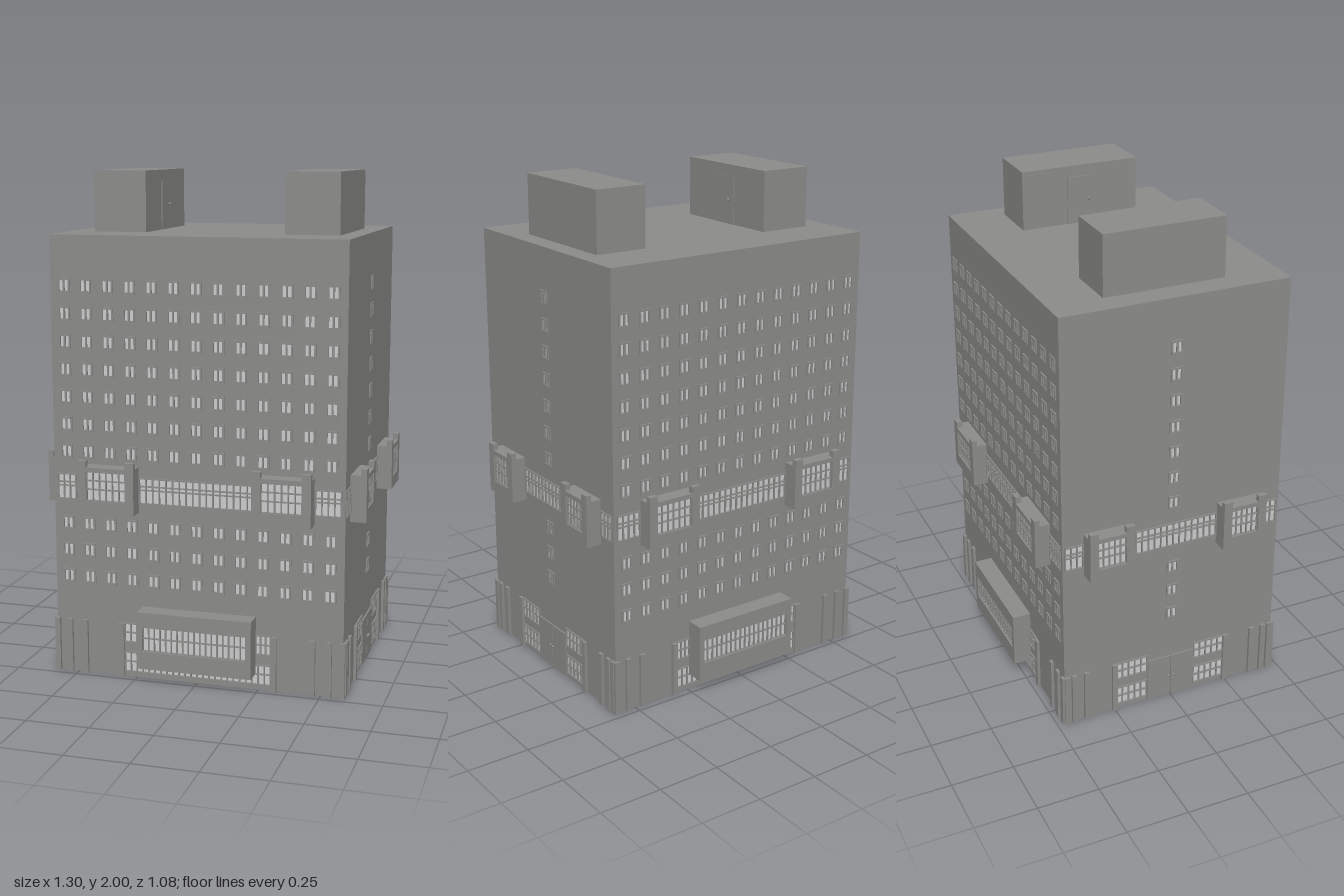
import * as THREE from 'three';
import { mergeGeometries } from 'three/addons/utils/BufferGeometryUtils.js';

const HX = 0.588, HZ = 0.466, TOP = 1.76;   // half width, half depth, roof height

const concrete = new THREE.MeshStandardMaterial({ color: 0x8c8c8a, side: THREE.DoubleSide });
concrete.name = 'concrete';
const glass = new THREE.MeshStandardMaterial({ color: 0xcdcdcd, side: THREE.DoubleSide });
glass.name = 'glass';

const range = (n, f) => Array.from({ length: n }, (_, i) => f(i));

// Box given by its limits: u along the wall, v up, w outward
function slab(u0, u1, v0, v1, w0, w1) {
  return new THREE.BoxGeometry(u1 - u0, v1 - v0, w1 - w0)
    .translate((u0 + u1) / 2, (v0 + v1) / 2, (w0 + w1) / 2);
}

function rectPath(PathType, u0, u1, v0, v1) {
  return new PathType([[u0, v0], [u1, v0], [u1, v1], [u0, v1]].map(p => new THREE.Vector2(...p)));
}

function rectWithHoles(rect, holes) {
  const shape = rectPath(THREE.Shape, ...rect);
  shape.holes = holes.map(h => rectPath(THREE.Path, ...h));
  return shape;
}

function addMerged(group, name, geometries, material) {
  const flat = geometries.map(g => (g.index ? g.toNonIndexed() : g));
  const mesh = new THREE.Mesh(mergeGeometries(flat), material);
  mesh.name = name;
  group.add(mesh);
}

// One face of the tower, built in local u/v/w coordinates
function makeFacade(name, half, opt) {
  const group = new THREE.Group();
  group.name = name;
  const holes = [], trim = [], panes = [], bays = [], ground = [];

  // Glass sheet with a frame, mullions and cross bars
  function glazing(u0, u1, v0, v1, cols, splits, w = 0, bar = 0.006) {
    panes.push(new THREE.PlaneGeometry(u1 - u0, v1 - v0)
      .translate((u0 + u1) / 2, (v0 + v1) / 2, w - 0.002));
    for (let i = 0; i <= cols; i++) {
      const u = u0 + (u1 - u0) * i / cols;
      trim.push(slab(u - bar / 2, u + bar / 2, v0, v1, w - 0.004, w + 0.005));
    }
    for (const v of [v0, ...splits, v1])
      trim.push(slab(u0 - bar / 2, u1 + bar / 2, v - bar / 2, v + bar / 2, w - 0.004, w + 0.006));
  }
  function wallWindow(u0, u1, v0, v1, cols, splits, bar) {
    holes.push([u0, u1, v0, v1]);
    glazing(u0, u1, v0, v1, cols, splits, 0, bar);
  }

  // Regular storeys of paired windows
  const rows = [...range(3, i => 0.403 + i * 0.1088), ...range(7, i => 0.912 + i * 0.1088)];
  for (const v of rows)
    for (const u of opt.columns) wallWindow(u - 0.021, u + 0.021, v - 0.024, v + 0.024, 2, [], 0.007);

  // Continuous window band, interrupted by the bays
  const bayIn = opt.bayU - opt.bayW / 2, bayOut = opt.bayU + opt.bayW / 2;
  const ends = Math.round((opt.bandEnd - bayOut) / 0.027);
  wallWindow(-opt.bandEnd, -bayOut - 0.004, 0.718, 0.818, ends, [0.772, 0.787], 0.005);
  wallWindow(-bayIn + 0.004, bayIn - 0.004, 0.718, 0.818, Math.round(bayIn * 2 / 0.027), [0.772, 0.787], 0.005);
  wallWindow(bayOut + 0.004, opt.bandEnd, 0.718, 0.818, ends, [0.772, 0.787], 0.005);

  // Projecting bays with raised corner posts
  const depth = 0.063;
  for (const c of [-opt.bayU, opt.bayU]) {
    const a = c - opt.bayW / 2, b = c + opt.bayW / 2;
    const win = [a + 0.036, b - 0.036, 0.73, 0.845];
    bays.push(new THREE.ExtrudeGeometry(rectWithHoles([a, b, 0.68, 0.863], [win]),
      { depth, bevelEnabled: false }));
    glazing(...win, opt.bayCols, [0.775, 0.81], depth - 0.012, 0.005);
    for (const [p, q] of [[a, a + 0.036], [b - 0.036, b]])
      bays.push(slab(p, q, 0.863, 0.888, depth - 0.022, depth));
  }

  // Ground storey pilasters
  for (const u of opt.pilasters)
    for (const s of [-1, 1]) ground.push(slab(s * u - 0.011, s * u + 0.011, 0, 0.222, -0.002, 0.012));

  if (opt.canopy !== undefined) {
    // Large box window over the shop front
    const a = opt.canopy - 0.232, b = opt.canopy + 0.232;
    const win = [a + 0.022, b - 0.022, 0.137, 0.235];
    holes.push(win);
    bays.push(new THREE.ExtrudeGeometry(rectWithHoles([a, b, 0.065, 0.297], [win]),
      { depth: 0.075, bevelEnabled: false }));
    glazing(...win, 18, [0.19], 0.062, 0.005);
    wallWindow(-0.3, a, 0.145, 0.222, 3, [0.185], 0.005);
    wallWindow(b, 0.3, 0.145, 0.222, 3, [0.185], 0.005);
    wallWindow(-0.3, 0.3, 0.022, 0.102, 24, [0.065], 0.005);
  } else {
    // Entrance windows and double doors with knobs
    for (const [a, b] of [[-0.242, -0.106], [0.106, 0.242]]) {
      wallWindow(a, b, 0.145, 0.22, 5, [0.185], 0.005);
      wallWindow(a, b, 0.022, 0.102, 5, [0.062], 0.005);
    }
    for (const s of [-1, 1]) {
      ground.push(slab(s * 0.0515 - 0.05, s * 0.0515 + 0.05, 0.003, 0.193, 0, 0.006));
      ground.push(new THREE.SphereGeometry(0.006, 8, 6).translate(s * 0.01, 0.1, 0.01));
    }
  }

  addMerged(group, 'wall', [new THREE.ShapeGeometry(rectWithHoles([-half, half, 0, TOP], holes))], concrete);
  addMerged(group, 'windowFrames', trim, concrete);
  addMerged(group, 'windowPanes', panes, glass);
  addMerged(group, 'projectingBays', bays, concrete);
  addMerged(group, 'groundDetails', ground, concrete);
  return group;
}

export function createModel() {
  const tower = new THREE.Group();
  tower.name = 'tower';

  // Broad and narrow facades on opposite sides
  const broad = { columns: range(13, i => (i - 6) * 0.0888), bandEnd: 0.572, bayU: 0.352, bayW: 0.232,
    bayCols: 6, pilasters: [0.313, 0.467, 0.532, 0.585] };
  const narrow = { columns: [0], bandEnd: 0.455, bayU: 0.284, bayW: 0.187,
    bayCols: 5, pilasters: [0.25, 0.372, 0.425, 0.456] };
  const faces = [
    ['frontFacade', 0, HX, HZ, { ...broad, canopy: 0.008 }],
    ['backFacade', Math.PI, HX, HZ, { ...broad, canopy: -0.008 }],
    ['leftFacade', Math.PI / 2, HZ, HX, narrow],
    ['rightFacade', -Math.PI / 2, HZ, HX, narrow],
  ];
  for (const [name, turn, half, out, opt] of faces) {
    const facade = makeFacade(name, half, opt);
    facade.rotation.y = turn;
    facade.position.set(Math.sin(turn) * out, 0, Math.cos(turn) * out);
    tower.add(facade);
  }

  // Flat roof
  addMerged(tower, 'roof', [slab(-HX, HX, TOP - 0.006, TOP, -HZ, HZ)], concrete);

  // Two roof houses, each with a door on its inner side
  for (const [name, x0, x1, doorX] of [['rightRoofHouse', -0.487, -0.271, -0.271], ['leftRoofHouse', 0.291, 0.507, 0.291]]) {
    const s = -Math.sign(doorX);
    const house = new THREE.Group();
    house.name = name;
    addMerged(house, 'block', [slab(x0, x1, TOP, 2, -0.251, 0.243)], concrete);
    addMerged(house, 'door', [
      slab(doorX - 0.004, doorX + 0.004, TOP, 1.955, -0.06, 0.05),
      new THREE.SphereGeometry(0.006, 8, 6).translate(doorX + s * 0.008, 1.86, -s * 0.03),
    ], concrete);
    tower.add(house);
  }
  return tower;
}
